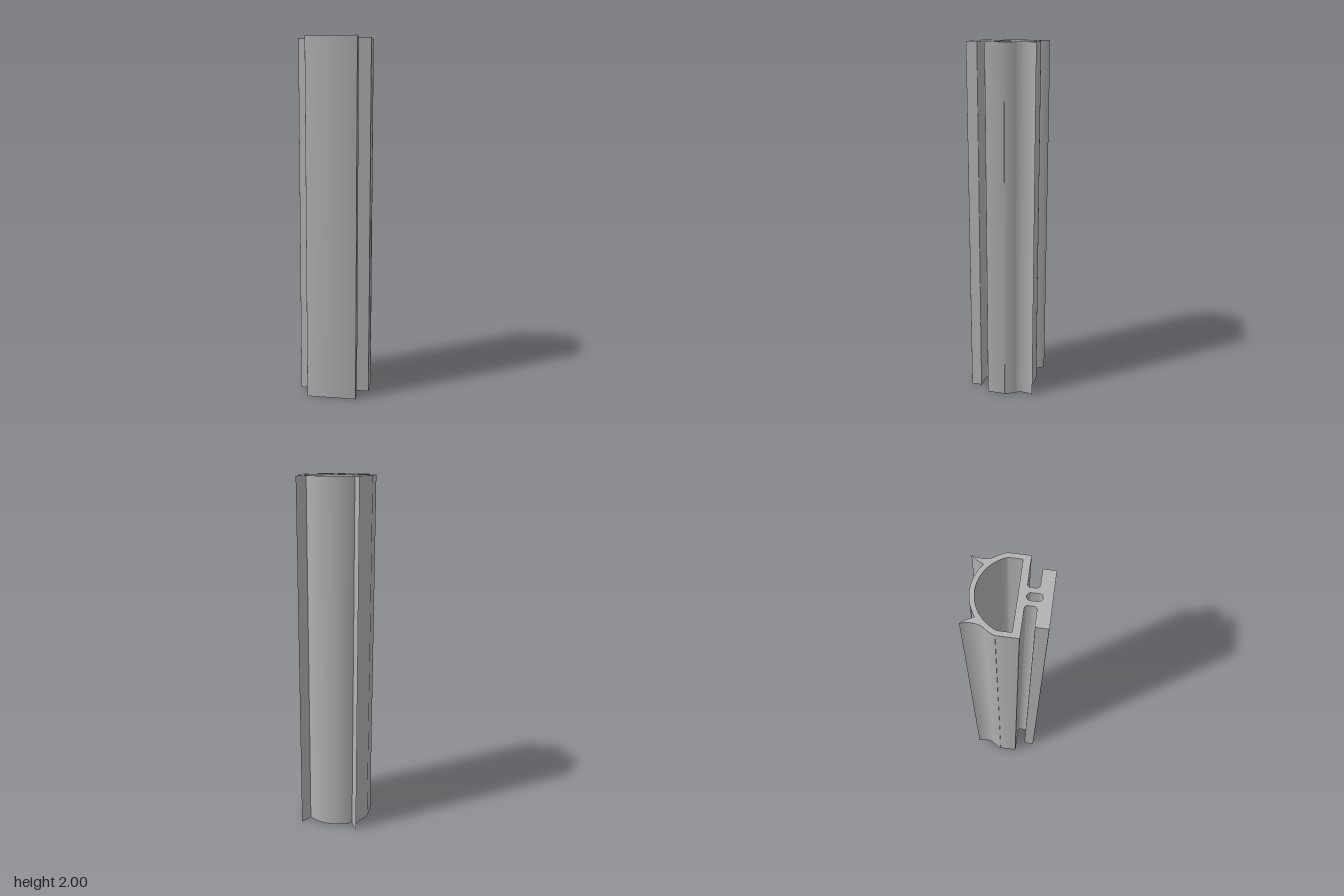
import * as THREE from 'three';
import { toCreasedNormals } from 'three/addons/utils/BufferGeometryUtils.js';

const LENGTH = 2;

// Completes a right-hand half outline (from the centre line round to it again) by mirroring it.
function mirrored(half) {
  const right = half.getPoints(16);
  const left = right.filter(p => p.x > 1e-4).reverse().map(p => new THREE.Vector2(-p.x, p.y));
  return [...right, ...left];
}

// Section plane: x is across, y points to the back (-z).
function outerOutline() {
  const p = new THREE.Path();
  // foot
  p.moveTo(0, -0.19);
  p.lineTo(0.135, -0.19);
  p.quadraticCurveTo(0.14, -0.19, 0.14, -0.185);
  p.lineTo(0.14, -0.133);
  p.quadraticCurveTo(0.14, -0.128, 0.135, -0.128);
  p.lineTo(0.062, -0.127);
  // neck with fillets
  p.bezierCurveTo(0.052, -0.127, 0.044, -0.121, 0.044, -0.111);
  p.lineTo(0.044, -0.088);
  p.bezierCurveTo(0.044, -0.079, 0.05, -0.072, 0.059, -0.072);
  // base plate and side wall
  p.lineTo(0.194, -0.072);
  p.quadraticCurveTo(0.2, -0.072, 0.2, -0.067);
  p.lineTo(0.2, 0.032);
  p.absarc(0, -0.0425, 0.2145, 0.36, 0.637, false);
  // pointed lip
  p.bezierCurveTo(0.157, 0.105, 0.148, 0.145, 0.165, 0.19);
  p.quadraticCurveTo(0.143, 0.166, 0.128, 0.13);
  // dome
  p.absarc(0, -0.0425, 0.2145, 0.931, Math.PI / 2, false);
  return mirrored(p);
}

function chamberOutline() {
  const p = new THREE.Path();
  p.moveTo(0, -0.037);
  p.lineTo(0.171, -0.037);
  p.quadraticCurveTo(0.176, -0.037, 0.176, -0.032);
  p.lineTo(0.176, 0.027);
  p.absarc(0, -0.04, 0.189, 0.37, Math.PI / 2, false);
  return mirrored(p);
}

function slotOutline() {
  const r = 0.019;
  const p = new THREE.Path();
  p.absarc(0, -0.146 + r, r, -Math.PI / 2, 0, false);
  p.absarc(0, -0.075 - r, r, 0, Math.PI / 2, false);
  return mirrored(p);
}

export function createModel() {
  const group = new THREE.Group();
  group.name = 'sealProfile';
  const rubber = new THREE.MeshStandardMaterial({ color: 0xb2b2b2 });
  rubber.name = 'grey rubber';

  const section = new THREE.Shape(outerOutline());
  section.holes.push(new THREE.Path(chamberOutline()), new THREE.Path(slotOutline()));

  // Extrude the section upwards
  let geometry = new THREE.ExtrudeGeometry(section, { depth: LENGTH, bevelEnabled: false, steps: 1 });
  geometry.rotateX(-Math.PI / 2);
  geometry.clearGroups();
  geometry = toCreasedNormals(geometry, 0.5);

  const strip = new THREE.Mesh(geometry, rubber);
  strip.name = 'sealStrip';
  group.add(strip);
  return group;
}
